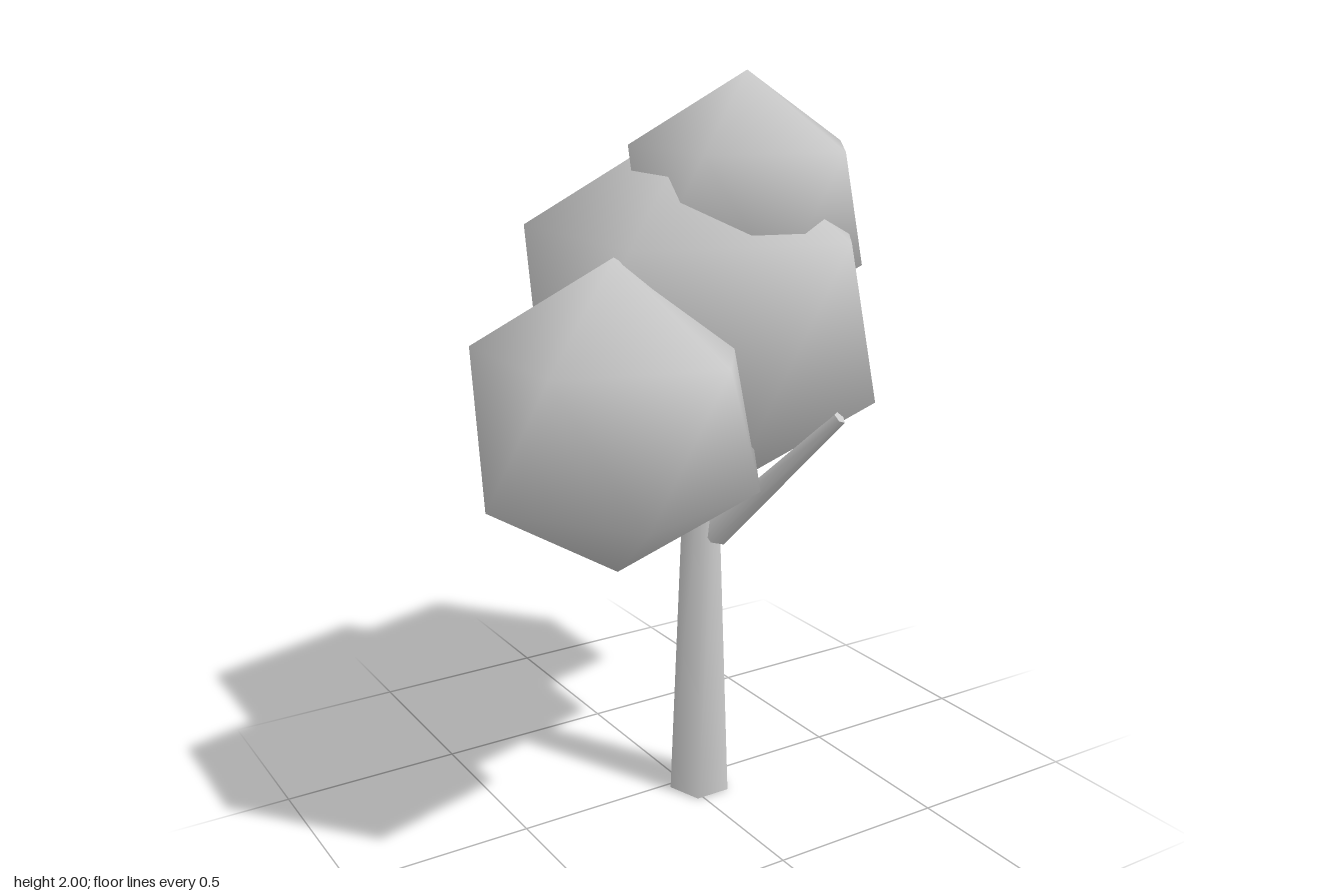
import * as THREE from 'three';

// Twenty-sided blob standing on one corner, with smooth shared normals
function blobGeometry(radius) {
  const ringR = radius * 2 / Math.sqrt(5), ringY = radius / Math.sqrt(5);
  const pos = [0, radius, 0, 0, -radius, 0];
  const index = [];
  for (let i = 0; i < 5; i++) {
    const a = i * Math.PI * 0.4, b = a + Math.PI * 0.2;
    pos.push(ringR * Math.cos(a), ringY, -ringR * Math.sin(a));
    pos.push(ringR * Math.cos(b), -ringY, -ringR * Math.sin(b));
    const j = (i + 1) % 5;
    const u = 2 + i * 2, l = u + 1, un = 2 + j * 2, ln = un + 1;
    index.push(0, u, un, u, l, un, l, ln, un, l, 1, ln);
  }
  const g = new THREE.BufferGeometry();
  g.setAttribute('position', new THREE.Float32BufferAttribute(pos, 3));
  g.setIndex(index);
  g.computeVertexNormals();
  return g;
}

// Tapered five-sided limb between two points
function limb(name, from, to, r0, r1, material) {
  const a = new THREE.Vector3(...from), b = new THREE.Vector3(...to);
  const dir = b.clone().sub(a);
  const g = new THREE.CylinderGeometry(r1, r0, dir.length(), 5);
  g.rotateY(Math.PI);
  const mesh = new THREE.Mesh(g, material);
  mesh.name = name;
  mesh.position.copy(a).add(b).multiplyScalar(0.5);
  mesh.quaternion.setFromUnitVectors(new THREE.Vector3(0, 1, 0), dir.normalize());
  return mesh;
}

export function createModel() {
  const group = new THREE.Group();
  group.name = 'tree';
  const grey = new THREE.MeshStandardMaterial({ color: 0xcccccc });
  grey.name = 'light grey';

  // Trunk and side branch
  group.add(limb('trunk', [0.033, 0, 0.045], [0.036, 0.93, 0.043], 0.086, 0.05, grey));
  group.add(limb('branch', [0.058, 0.77, 0.07], [0.232, 1.145, 0.388], 0.043, 0.018, grey));

  // Leaf clumps: name, centre, radius
  const clumps = [
    ['mainFoliage', [0.035, 1.375, 0.04], 0.518],
    ['topFoliage', [0.107, 1.665, 0.135], 0.335],
    ['rightFoliage', [-0.36, 1.2, 0.275], 0.39],
    ['leftFoliage', [0.37, 1.256, -0.243], 0.373],
    ['backFoliage', [-0.055, 1.06, -0.374], 0.284],
  ];
  for (const [name, centre, radius] of clumps) {
    const mesh = new THREE.Mesh(blobGeometry(radius), grey);
    mesh.name = name;
    mesh.position.set(...centre);
    group.add(mesh);
  }
  return group;
}
